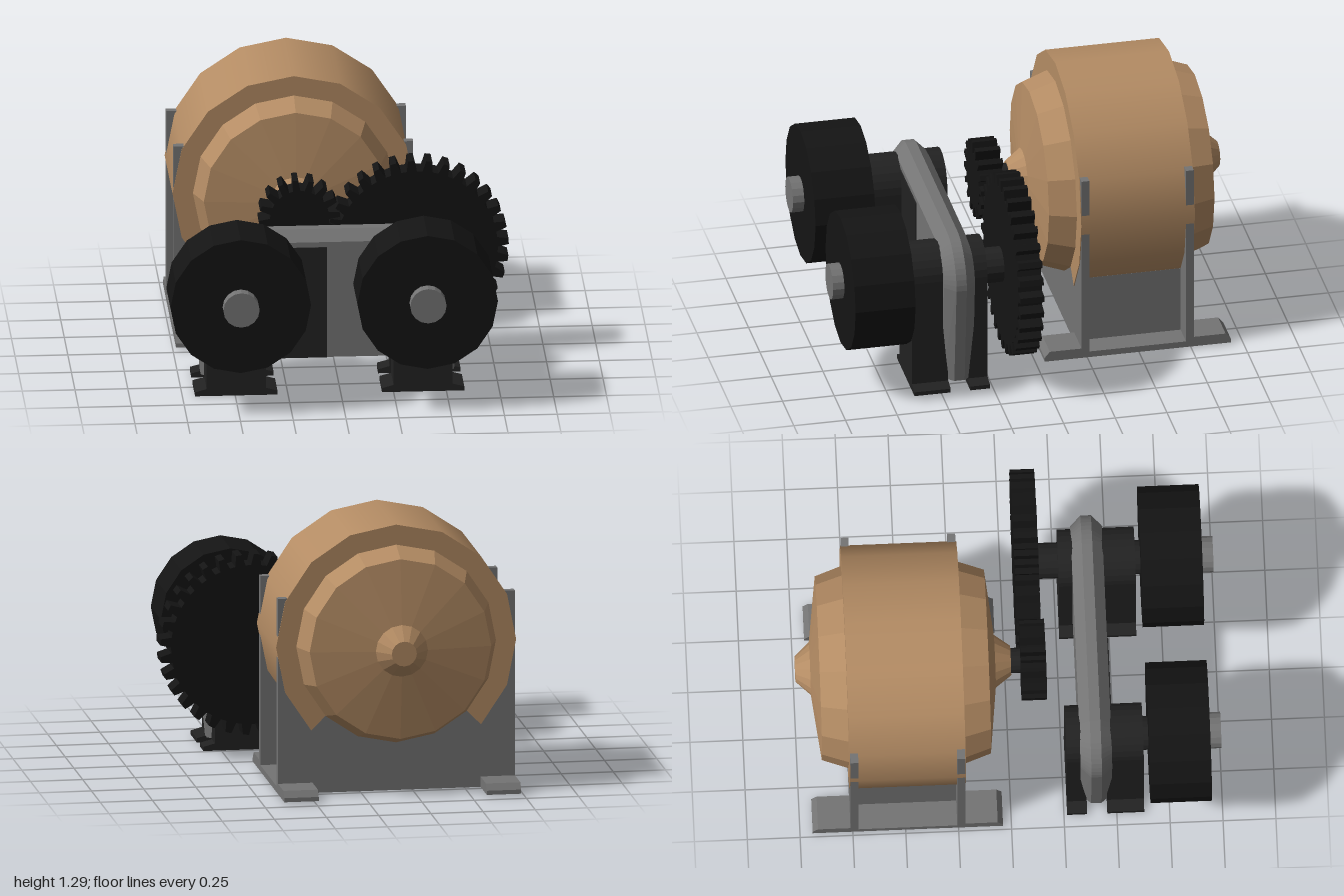
import * as THREE from 'three';

const material = (color, flatShading = true) => new THREE.MeshStandardMaterial({ color, flatShading });
const TAN = material(0xb48c64), TAN_SMOOTH = material(0xb48c64, false);
const GREY = material(0x747474), DARK = material(0x222222), BLACK = material(0x141414);

const MOTOR = [-0.165, 0.72];               // motor axis (x, y)
const DRUMS = [[-0.495, 0.555], [0.39, 0.555]]; // drum axes (x, y)

export function createModel() {
  const model = new THREE.Group();

  const add = (name, geometry, mat, x = 0, y = 0, z = 0) => {
    const mesh = new THREE.Mesh(geometry, mat);
    mesh.name = name;
    mesh.position.set(x, y, z);
    model.add(mesh);
    return mesh;
  };
  // box given by its limits
  const box = (name, mat, x0, x1, y0, y1, z0, z1) =>
    add(name, new THREE.BoxGeometry(x1 - x0, y1 - y0, z1 - z0), mat,
      (x0 + x1) / 2, (y0 + y1) / 2, (z0 + z1) / 2);
  // cylinder along z from z0 to z1
  const rod = (name, mat, [x, y], r, z0, z1, sides = 16) =>
    add(name, new THREE.CylinderGeometry(r, r, z1 - z0, sides).rotateX(Math.PI / 2), mat, x, y, (z0 + z1) / 2);
  // flat outline in xy, thickened along z
  const slab = (name, mat, shape, x, y, z0, z1) =>
    add(name, new THREE.ExtrudeGeometry(shape, { depth: z1 - z0, bevelEnabled: false, curveSegments: 6 }), mat, x, y, z0);

  const gear = (name, [x, y], outer, root, teeth, z0, z1, phase) => {
    const shape = new THREE.Shape();
    const step = Math.PI * 2 / teeth;
    for (let i = 0; i < teeth; i++) {
      [[-0.32, root], [-0.17, outer], [0.17, outer], [0.32, root]].forEach(([f, r], k) => {
        const a = (i + f + phase) * step;
        shape[i + k === 0 ? 'moveTo' : 'lineTo'](r * Math.cos(a), r * Math.sin(a));
      });
    }
    slab(name, BLACK, shape, x, y, z0, z1);
  };

  // motor: end bells and noses in one turned profile, with a wider shell around the middle
  const bell = [[0, -1], [0.06, -1], [0.125, -0.93], [0.435, -0.89], [0.48, -0.76], [0.48, -0.22],
    [0.435, -0.09], [0.125, -0.055], [0.07, 0.02], [0, 0.02]].map(p => new THREE.Vector2(...p));
  add('motorCore', new THREE.LatheGeometry(bell, 16).rotateX(Math.PI / 2), TAN, ...MOTOR, 0);
  add('motorShell', new THREE.CylinderGeometry(0.575, 0.575, 0.55, 12, 1, false, Math.PI / 4, Math.PI * 1.5)
    .rotateX(Math.PI / 2), TAN_SMOOTH, ...MOTOR, -0.49);

  // cradle: end plates, inner box, base and feet
  for (const z of [-0.2375, -0.7425]) box('cradlePlate', GREY, -0.735, 0.4, 0.01, 0.955, z - 0.019, z + 0.019);
  box('cradleBox', GREY, -0.61, 0.28, 0.03, 0.37, -0.73, -0.25);
  box('cradleBase', GREY, -0.735, 0.4, 0.01, 0.04, -0.755, -0.225);
  const foot = new THREE.Shape([[0, 0.01], [0.185, 0.01], [0.185, 0.03], [0.16, 0.06], [0, 0.06]]
    .map(p => new THREE.Vector2(...p)));
  for (const x of [-0.6525, 0.3175]) {
    for (const side of [1, -1]) {
      const geometry = new THREE.ExtrudeGeometry(foot, { depth: 0.165, bevelEnabled: false });
      geometry.translate(0, 0, -0.0825).rotateY(-side * Math.PI / 2);
      add('cradleFoot', geometry, GREY, x, 0, side > 0 ? -0.225 : -0.755);
    }
  }

  // gear train
  rod('motorShaft', DARK, MOTOR, 0.06, 0, 0.08);
  gear('pinion', MOTOR, 0.192, 0.14, 16, 0.065, 0.185, 0.25);
  gear('largeGear', DRUMS[1], 0.437, 0.385, 32, 0.055, 0.17, 0.3);
  rod('gearShaft', DARK, DRUMS[1], 0.085, 0.16, 0.3);

  // bearing stands, a thin one behind and a thick one in front of the belt cover
  const stand = new THREE.Shape();
  stand.moveTo(-0.195, 0);
  stand.lineTo(0.195, 0);
  stand.lineTo(0.195, 0.02);
  stand.lineTo(0.14, 0.035);
  stand.lineTo(0.14, 0.57);
  stand.absarc(0, 0.57, 0.14, 0, Math.PI, false);
  stand.lineTo(-0.14, 0.035);
  stand.lineTo(-0.195, 0.02);
  for (const axis of DRUMS) {
    slab('rearStand', DARK, stand, axis[0], 0, 0.265, 0.36);
    slab('frontStand', DARK, stand, axis[0], 0, 0.455, 0.63);
    rod('drumHub', DARK, axis, 0.08, 0.62, 0.67);
    rod('drum', BLACK, axis, 0.333, 0.655, 0.945);
    rod('drumShaft', GREY, axis, 0.086, 0.94, 1.0);
  }

  // belt cover: bevelled housing with two legs, bottoms kept level
  const cover = new THREE.Shape();
  cover.moveTo(0.55, 0.04);
  cover.lineTo(0.6, 0.545);
  cover.absarc(0.39, 0.545, 0.21, 0, Math.PI / 2, false);
  cover.absarc(-0.495, 0.545, 0.21, Math.PI / 2, Math.PI, false);
  cover.lineTo(-0.65, 0.04);
  cover.lineTo(-0.4, 0.04);
  cover.lineTo(-0.4, 0.13);
  cover.lineTo(0.3, 0.13);
  cover.lineTo(0.3, 0.04);
  const coverGeometry = new THREE.ExtrudeGeometry(cover, {
    depth: 0.05, curveSegments: 6, bevelSegments: 1, bevelThickness: 0.05, bevelSize: 0.05, bevelOffset: -0.05,
  });
  const pos = coverGeometry.attributes.position;
  for (let i = 0; i < pos.count; i++) {
    const y = pos.getY(i);
    if (y < 0.1) pos.setY(i, 0.04);
    else if (y < 0.25) pos.setY(i, 0.13);
  }
  coverGeometry.computeVertexNormals();
  add('beltCover', coverGeometry, GREY, 0, 0, 0.38);
  box('coverPanel', DARK, -0.4, -0.055, 0.13, 0.68, 0.44, 0.486);

  return model;
}
